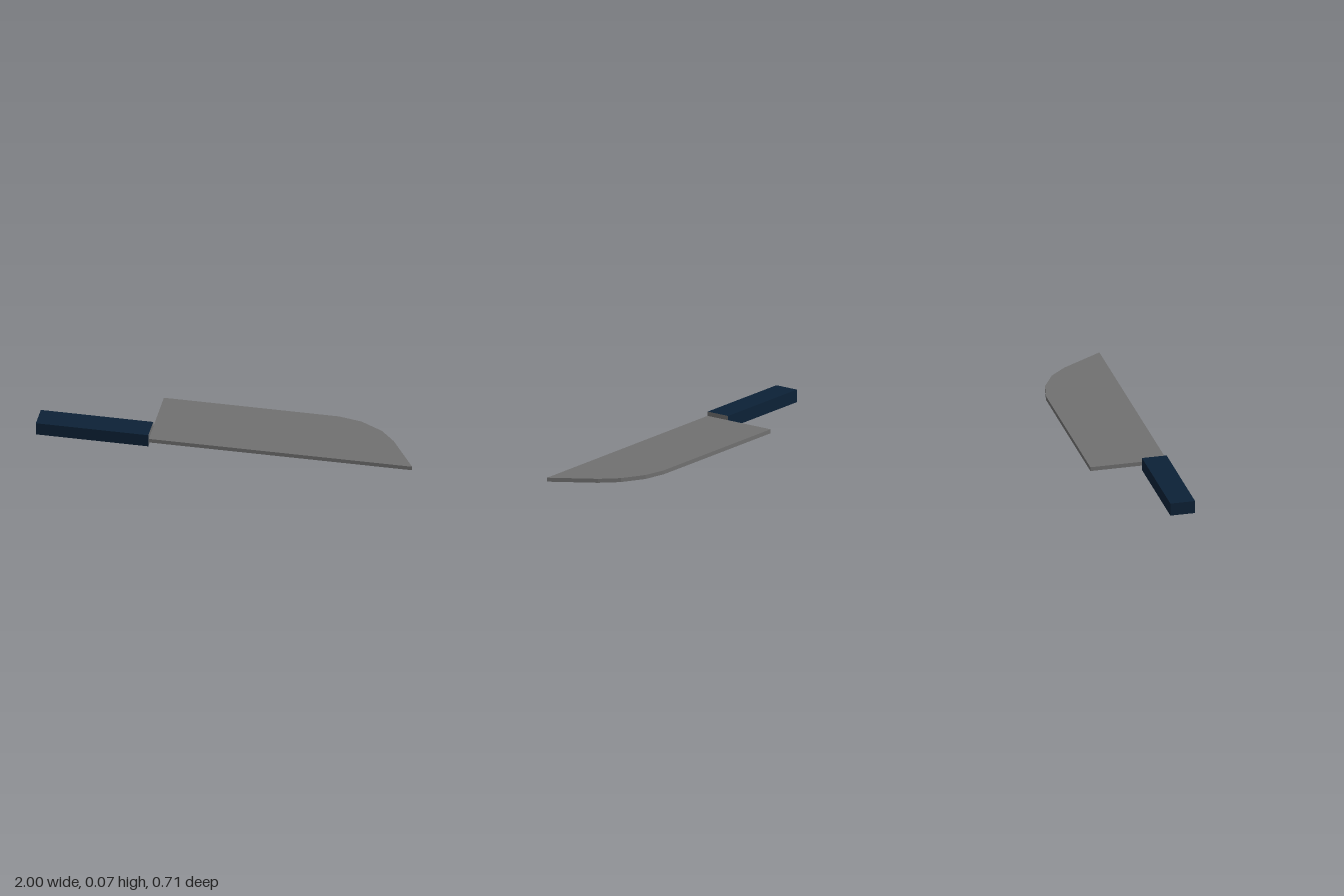
import * as THREE from 'three';

export function createModel() {
  const model = new THREE.Group();
  model.name = 'kitchenKnife';

  const steel = new THREE.MeshStandardMaterial({ color: 0x707070 });
  steel.name = 'steel grey';
  const navy = new THREE.MeshStandardMaterial({ color: 0x0c2136 });
  navy.name = 'dark navy';

  // Blade: flat plate with a straight edge and a faceted curve at the tip, as [x, z]
  const outline = [
    [-0.4, 0.053], [1, 0.357], [0.907, 0.1], [0.845, -0.005],
    [0.738, -0.1], [0.62, -0.153], [-0.312, -0.357],
  ];
  const shape = new THREE.Shape(outline.map(([x, z]) => new THREE.Vector2(x, -z)));
  const bladeGeometry = new THREE.ExtrudeGeometry(shape, { depth: 0.022, bevelEnabled: false });
  bladeGeometry.rotateX(-Math.PI / 2);
  const blade = new THREE.Mesh(bladeGeometry, steel);
  blade.name = 'blade';
  blade.position.y = 0.025;
  model.add(blade);

  // Handle: square bar, with a steel face where it meets the blade
  const handle = new THREE.Mesh(
    new THREE.BoxGeometry(0.612, 0.07, 0.136),
    [steel, navy, navy, navy, navy, navy],
  );
  handle.name = 'handle';
  handle.position.set(-0.687, 0.035, -0.079);
  handle.rotation.y = -0.216;
  model.add(handle);

  return model;
}
